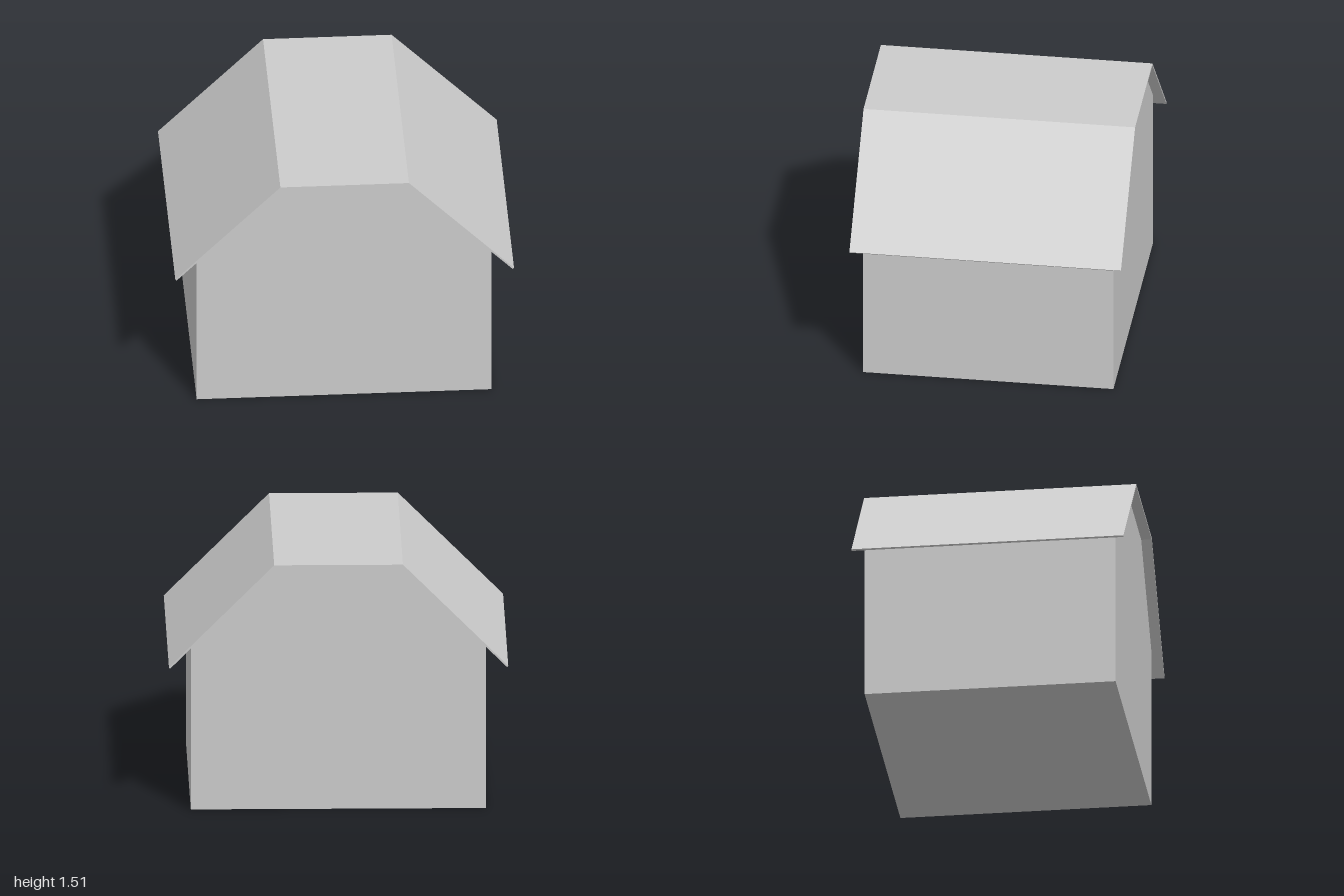
import * as THREE from 'three';

const material = new THREE.MeshStandardMaterial({ color: 0xcccccc, flatShading: true });

// Extrudes a left-right symmetric outline along z, centred on z = 0.
function extrudePart(name, points, depth) {
  const shape = new THREE.Shape(points.map(([x, y]) => new THREE.Vector2(x, y)));
  const geometry = new THREE.ExtrudeGeometry(shape, { depth, bevelEnabled: false });
  geometry.translate(0, 0, -depth / 2);
  const mesh = new THREE.Mesh(geometry, material);
  mesh.name = name;
  return mesh;
}

// Mirrors a half profile given from the eave to the ridge: right end to left end.
const mirrored = (half) => [...half, ...half.map(([x, y]) => [-x, y]).reverse()];

export function createModel() {
  const model = new THREE.Group();
  model.name = 'barn';

  // Solid walls with clipped gables
  const walls = mirrored([[0.87, 0], [0.87, 1], [0.375, 1.495]]);
  model.add(extrudePart('walls', walls, 1.49));

  // Thin folded roof, overhanging all sides, eaves cut square to the slope
  const outer = mirrored([[1, 0.885], [0.3795, 1.5055]]);
  const inner = mirrored([[0.9925, 0.8775], [0.375, 1.495]]);
  model.add(extrudePart('roof', [...outer, ...inner.reverse()], 1.615));

  return model;
}
